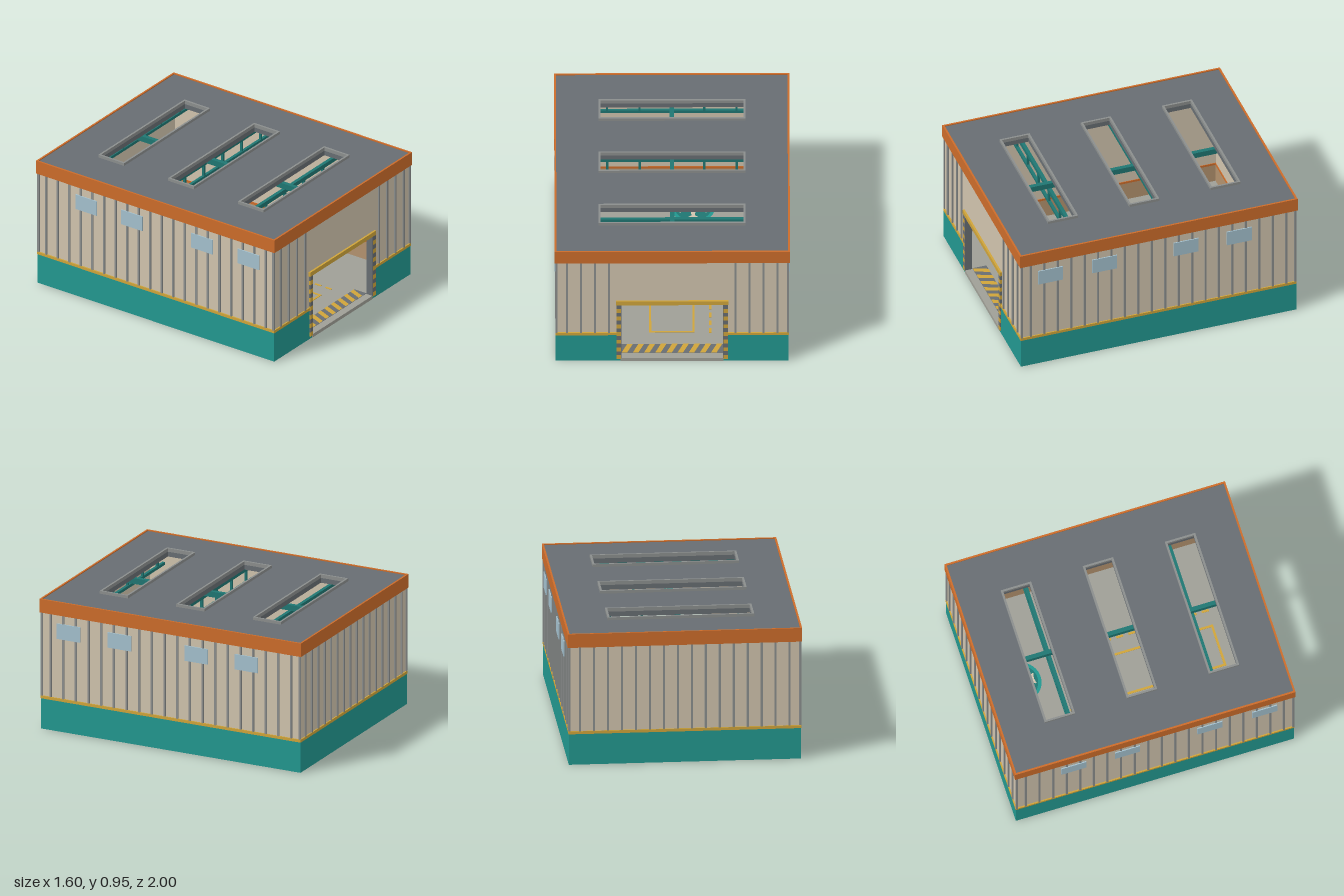
import * as THREE from 'three';

const mat = (name, color, side = THREE.FrontSide) => {
  const m = new THREE.MeshStandardMaterial({ color, side });
  m.name = name;
  return m;
};

export function createModel() {
  const cream = mat('cream cladding', 0xd0c3ad);
  const teal = mat('teal paint', 0x22978f);
  const deepTeal = mat('deep teal steel', 0x1f7672);
  const orange = mat('orange trim', 0xcc6c2a);
  const yellow = mat('safety yellow', 0xcfa43a);
  const dark = mat('slate grey', 0x676d72);
  const concrete = mat('concrete', 0x9f9f96);
  const steel = mat('light steel', 0x8b8e8d);
  const glass = mat('pale blue glass', 0xa3c0cd);
  const tan = mat('tan wainscot', 0xb3926e);

  const root = new THREE.Group();
  root.name = 'hangar';
  const group = (name) => {
    const g = new THREE.Group();
    g.name = name;
    root.add(g);
    return g;
  };
  // Box given by its minimum and maximum on each axis
  const box = (parent, name, m, x0, x1, y0, y1, z0, z1) => {
    const mesh = new THREE.Mesh(new THREE.BoxGeometry(x1 - x0, y1 - y0, z1 - z0), m);
    mesh.position.set((x0 + x1) / 2, (y0 + y1) / 2, (z0 + z1) / 2);
    mesh.name = name;
    parent.add(mesh);
    return mesh;
  };
  const rect = (P, x0, x1, y0, y1) =>
    new P([[x0, y0], [x1, y0], [x1, y1], [x0, y1]].map((p) => new THREE.Vector2(...p)));
  // Horizontal slab with rectangular holes, each [x0, x1, z0, z1]
  const slab = (parent, name, m, outer, holes, y, depth) => {
    const s = rect(THREE.Shape, outer[0], outer[1], -outer[3], -outer[2]);
    holes.forEach((h) => s.holes.push(rect(THREE.Path, h[0], h[1], -h[3], -h[2])));
    const mesh = new THREE.Mesh(new THREE.ExtrudeGeometry(s, { depth, bevelEnabled: false }), m);
    mesh.rotation.x = -Math.PI / 2;
    mesh.position.y = y;
    mesh.name = name;
    parent.add(mesh);
  };
  // Flat floor marking drawn in (x, -z)
  const marking = (parent, name, m, geometry, x, y, z) => {
    const mesh = new THREE.Mesh(geometry, m);
    mesh.rotation.x = -Math.PI / 2;
    mesh.position.set(x, y, z);
    mesh.name = name;
    parent.add(mesh);
  };

  const FLOOR = 0.025, DOOR = 0.35, TOP = 0.48;
  box(root, 'floorSlab', concrete, -0.785, 0.785, 0, FLOOR, -0.985, 0.985);

  // Walls: cladding, teal plinth and yellow line
  const walls = group('walls');
  const course = (name, m, y0, y1, hx, hz, t, doorway) => {
    for (const s of [-1, 1]) {
      const [a, b] = [s * hx, s * (hx - t)].sort((p, q) => p - q);
      box(walls, name + 'Side', m, a, b, y0, y1, -hz + t, hz - t);
      if (doorway) {
        const [c, d] = [s * DOOR, s * hx].sort((p, q) => p - q);
        box(walls, name + 'Front', m, c, d, y0, y1, hz - t, hz);
      }
    }
    if (!doorway) box(walls, name + 'Front', m, -hx, hx, y0, y1, hz - t, hz);
    box(walls, name + 'Back', m, -hx, hx, y0, y1, -hz, -hz + t);
  };
  course('lowerWall', cream, FLOOR, TOP, 0.785, 0.985, 0.03, true);
  course('upperWall', cream, TOP, 0.9, 0.785, 0.985, 0.03, false);
  course('plinth', teal, 0.002, 0.22, 0.792, 0.992, 0.012, true);
  course('plinthLine', yellow, 0.22, 0.24, 0.794, 0.994, 0.014, true);
  // Interior wainscot and its orange line
  course('wainscot', tan, FLOOR, 0.16, 0.756, 0.956, 0.004, true);
  course('wainscotLine', orange, 0.16, 0.175, 0.758, 0.958, 0.008, true);

  // Cladding ribs
  const ribs = group('ribs');
  for (const s of [-1, 1]) {
    for (let i = 0; i < 20; i++) {
      const z = (i - 9.5) * 0.0968;
      box(ribs, 'sideRib', steel, s * 0.789 - 0.006, s * 0.789 + 0.006, 0.24, 0.85, z - 0.007, z + 0.007);
    }
    for (let i = 0; i < 16; i++) {
      const x = (i - 7.5) * 0.0953;
      if (s > 0 && Math.abs(x) < 0.4) continue;
      box(ribs, 'endRib', steel, x - 0.007, x + 0.007, 0.24, 0.85, s * 0.989 - 0.006, s * 0.989 + 0.006);
    }
    for (const z of [-0.985, 0.985])
      box(ribs, 'cornerRib', steel, s * 0.788 - 0.007, s * 0.788 + 0.007, 0.24, 0.85, z - 0.007, z + 0.007);
    // High windows
    for (const z of [0.78, 0.39, -0.197, -0.58])
      box(walls, 'window', glass, s * 0.796 - 0.004, s * 0.796 + 0.004, 0.67, 0.78, z - 0.089, z + 0.089);
  }

  // Roof with three rooflight openings and an orange fascia
  const roof = group('roof');
  const lights = [-0.585, 0, 0.585];
  slab(roof, 'roofDeck', dark, [-0.788, 0.788, -0.988, 0.988],
    lights.map((z) => [-0.487, 0.487, z - 0.095, z + 0.095]), 0.89, 0.04);
  slab(roof, 'fascia', orange, [-0.8, 0.8, -1, 1], [[-0.787, 0.787, -0.987, 0.987]], 0.84, 0.097);
  lights.forEach((z) => slab(roof, 'rooflightCurb', steel, [-0.5, 0.5, z - 0.108, z + 0.108],
    [[-0.486, 0.486, z - 0.094, z + 0.094]], 0.925, 0.025));

  // Roof structure: ridge beam and trusses
  const frame = group('roofStructure');
  box(frame, 'ridgeBeam', deepTeal, -0.015, 0.015, 0.85, 0.89, -0.955, 0.955);
  for (const z of [-0.85, -0.51, -0.17, 0.17, 0.51, 0.85]) {
    box(frame, 'topChord', deepTeal, -0.755, 0.755, 0.82, 0.85, z - 0.012, z + 0.012);
    box(frame, 'bottomChord', deepTeal, -0.755, 0.755, 0.72, 0.74, z - 0.01, z + 0.01);
    for (let i = -3; i <= 3; i++)
      box(frame, 'trussPost', deepTeal, i * 0.22 - 0.008, i * 0.22 + 0.008, 0.74, 0.82, z - 0.008, z + 0.008);
  }

  // Door surround with hazard bands
  const door = group('doorway');
  const bands = 14, step = (TOP - 0.02) / bands;
  for (const s of [-1, 1]) {
    const [a, b] = [s * DOOR, s * 0.38].sort((p, q) => p - q);
    for (let i = 0; i < bands; i++)
      box(door, 'doorPostBand', i % 2 ? dark : yellow, a, b, 0.02 + i * step, 0.02 + (i + 1) * step, 0.97, 0.998);
    box(door, 'doorJamb', dark, s * 0.35 - 0.005, s * 0.35 + 0.005, FLOOR, TOP, 0.945, 0.996);
  }
  box(door, 'lintel', yellow, -0.382, 0.382, TOP, 0.512, 0.97, 0.999);
  box(door, 'threshold', concrete, -DOOR, DOOR, 0, FLOOR, 0.98, 0.994);

  // Floor markings
  const marks = group('floorMarkings');
  const line = (name, x0, x1, z0, z1) => box(marks, name, yellow, x0, x1, FLOOR, FLOOR + 0.003, z0, z1);
  line('bayLine', -0.158, -0.142, -0.4, 0.71);
  line('bayLine', 0.137, 0.153, -0.4, 0.71);
  line('stopLine', -0.142, 0.137, 0.694, 0.71);
  for (let z = -0.38; z < 0.7; z += 0.087) line('laneDash', 0.252, 0.268, z, z + 0.05);
  box(marks, 'hazardStrip', dark, -0.35, 0.35, FLOOR, FLOOR + 0.002, 0.84, 0.94);
  for (let i = 0; i < 9; i++) {
    const x = -0.345 + i * 0.076;
    const s = new THREE.Shape([[0, 0], [0.038, 0], [0.078, 0.1], [0.04, 0.1]].map((p) => new THREE.Vector2(...p)));
    marking(marks, 'hazardStripe', yellow, new THREE.ShapeGeometry(s), x, FLOOR + 0.004, 0.94);
  }

  // Round floor emblem with an aircraft silhouette
  marking(marks, 'emblemRing', teal, new THREE.CircleGeometry(0.145, 40), 0.145, FLOOR + 0.003, -0.665);
  marking(marks, 'emblemDisc', deepTeal, new THREE.CircleGeometry(0.122, 40), 0.145, FLOOR + 0.005, -0.665);
  const half = [[0, 0.1], [0.012, 0.085], [0.015, 0.035], [0.092, -0.018], [0.092, -0.038], [0.016, -0.016],
    [0.012, -0.068], [0.038, -0.09], [0.038, -0.102], [0, -0.094]];
  const outline = [...half, ...half.slice(1, -1).reverse().map(([x, y]) => [-x, y])];
  const plane = new THREE.Shape(outline.map((p) => new THREE.Vector2(...p)));
  marking(marks, 'aircraftSilhouette', cream, new THREE.ShapeGeometry(plane), 0.145, FLOOR + 0.007, -0.662);

  // Wall clock on the back wall
  const clock = new THREE.Mesh(new THREE.CylinderGeometry(0.046, 0.046, 0.01, 32), cream);
  clock.rotation.x = Math.PI / 2;
  clock.position.set(0.19, 0.488, -0.951);
  clock.name = 'wallClock';
  root.add(clock);

  return root;
}
